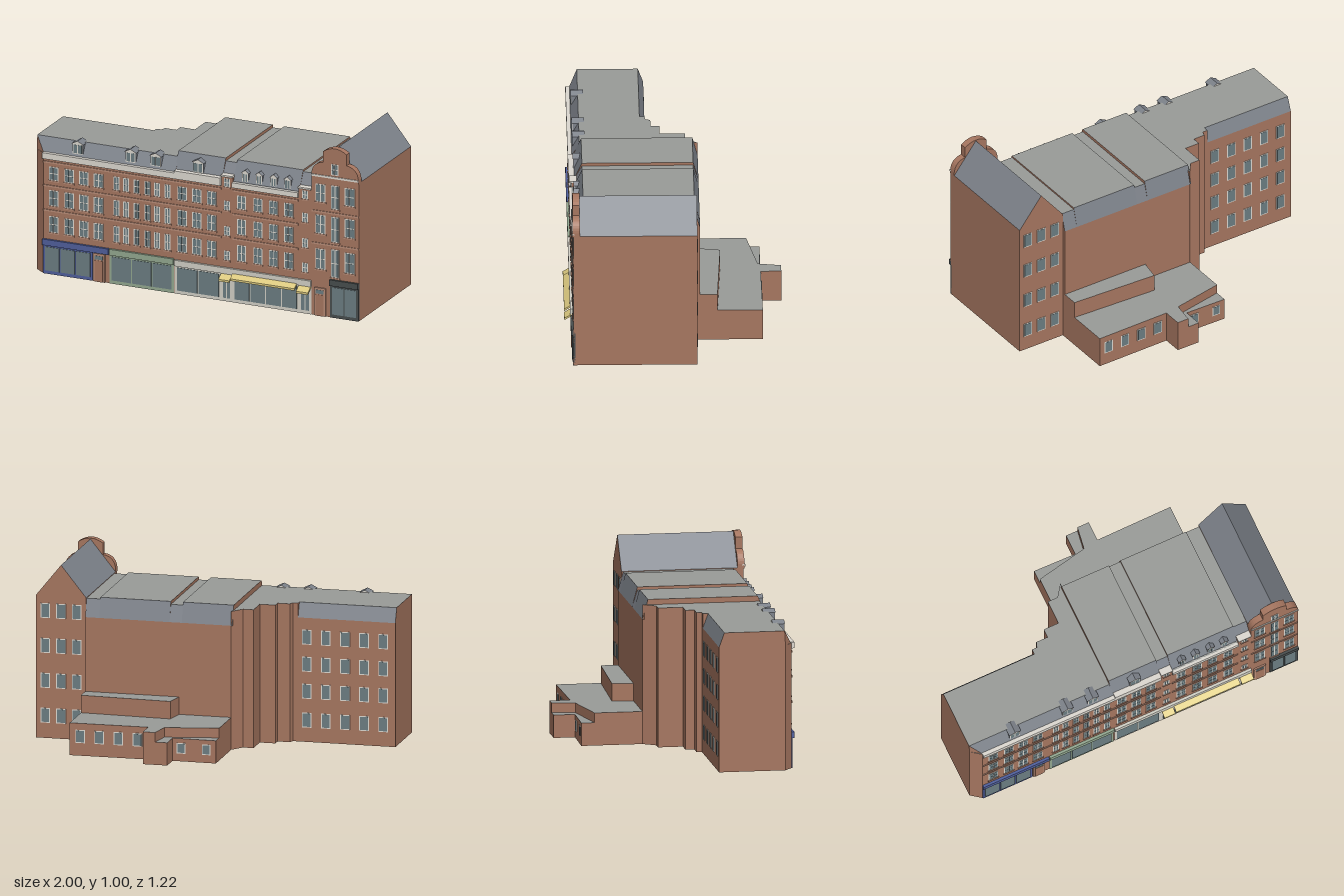
import * as THREE from 'three';
import { mergeGeometries } from 'three/addons/utils/BufferGeometryUtils.js';

const mat = (color) => new THREE.MeshStandardMaterial({ color, flatShading: true });
const brick = mat(0xa67660), flatRoof = mat(0x999b98), slate = mat(0x7d828a);
const white = mat(0xdcd8d0), glass = mat(0x6b7d82), stone = mat(0xb98d78);
const blue = mat(0x505f9c), green = mat(0x93a890), cream = mat(0xd2d0c6);
const yellow = mat(0xdcca80), dark = mat(0x474d4e);
const FRONT = 0.56;

export function createModel() {
  const model = new THREE.Group();

  const add = (name, geo, material, parent = model) => {
    const mesh = new THREE.Mesh(geo, material);
    mesh.name = name;
    parent.add(mesh);
    return mesh;
  };
  const boxGeo = (x0, x1, y0, y1, z0, z1) =>
    new THREE.BoxGeometry(x1 - x0, y1 - y0, z1 - z0)
      .translate((x0 + x1) / 2, (y0 + y1) / 2, (z0 + z1) / 2);
  const box = (name, material, x0, x1, y0, y1, z0, z1, parent) =>
    add(name, boxGeo(x0, x1, y0, y1, z0, z1), material, parent);

  // Loft from a ground outline [x, z] to a top outline; slateEdges picks the sloped slate sides
  function block(name, base, y0, y1, top = base, slateEdges = []) {
    const pos = [], geo = new THREE.BufferGeometry();
    base.forEach(([x, z], i) => {
      const j = (i + 1) % base.length, [u, w] = base[j], [a, b] = top[i], [c, d] = top[j];
      geo.addGroup(pos.length / 3, 6, slateEdges.includes(i) ? 1 : 0);
      pos.push(x, y0, z, u, y0, w, c, y1, d, x, y0, z, c, y1, d, a, y1, b);
    });
    const cap = (pts, y, up, material) => {
      const start = pos.length / 3;
      const tris = THREE.ShapeUtils.triangulateShape(pts.map((p) => new THREE.Vector2(...p)), []);
      for (const [i, j, k] of tris) {
        const [a, b, c] = [pts[i], pts[j], pts[k]];
        const facing = (b[1] - a[1]) * (c[0] - a[0]) - (b[0] - a[0]) * (c[1] - a[1]);
        for (const p of (facing > 0) === up ? [a, b, c] : [a, c, b]) pos.push(p[0], y, p[1]);
      }
      geo.addGroup(start, pos.length / 3 - start, material);
    };
    cap(top, y1, true, 2);
    if (y0 === 0) cap(base, y0, false, 0);
    geo.setAttribute('position', new THREE.Float32BufferAttribute(pos, 3));
    geo.computeVertexNormals();
    return add(name, geo, [brick, slate, flatRoof]);
  }

  // Window facing +z: white frame with rows and columns of panes; dir -1 faces the back
  function sashWindow(x, y, z, w, h, cols = 2, dir = 1, parent = model, rows = 2) {
    const g = new THREE.Group(), bar = 0.005, panes = [];
    g.name = 'window';
    box('frame', white, -w / 2, w / 2, -h / 2, h / 2, -0.004, 0.002, g);
    const pw = (w - bar * (cols + 1)) / cols, ph = (h - bar * (rows + 1)) / rows;
    for (let c = 0; c < cols; c++) for (let r = 0; r < rows; r++) {
      const px = -w / 2 + bar + c * (pw + bar), py = -h / 2 + bar + r * (ph + bar);
      panes.push(boxGeo(px, px + pw, py, py + ph, -0.002, 0.003));
    }
    add('panes', mergeGeometries(panes), glass, g);
    g.position.set(x, y, z);
    if (dir < 0) g.rotation.y = Math.PI;
    parent.add(g);
  }

  // Left building with its chamfered corner and stepped back
  const steps = [[-0.13, -0.15], [-0.18, -0.08], [-0.24, -0.08], [-0.24, 0.06], [-0.33, 0.06],
    [-0.33, 0.11], [-0.4, 0.11], [-0.41, 0.14], [-0.44, 0.14]];
  block('leftWalls', [[-1, 0.515], [-0.94, FRONT], [-0.13, FRONT], ...steps, [-1, 0.14]], 0, 0.71);
  block('leftMansardRoof',
    [[-1, 0.515], [-0.94, 0.555], [-0.13, 0.555], ...steps, [-0.44, 0.14], [-1, 0.14]], 0.71, 0.792,
    [[-1, 0.51], [-1, 0.51], [-0.13, 0.51], ...steps, [-0.44, 0.17], [-1, 0.17]], [1, 12]);

  // Middle buildings under separate mansard roofs
  const rect = (x0, x1, z0, z1) => [[x0, z1], [x1, z1], [x1, z0], [x0, z0]];
  block('middleWalls', rect(-0.13, 0.71, -0.15, FRONT), 0, 0.71);
  for (const [x0, x1, top] of [[-0.137, 0.155, 0.822], [0.155, 0.225, 0.805], [0.225, 0.63, 0.822], [0.63, 0.71, 0.812]])
    block('middleMansardRoof', rect(x0, x1, -0.15, 0.55), 0.71, top, rect(x0, x1, -0.12, 0.5), [0, 2]);

  // Tower house with a ridge roof and a curved front gable
  block('towerWalls', rect(0.71, 1, -0.13, FRONT), 0, 0.815);
  const ridge = new THREE.Shape([[-0.145, 0.815], [0.145, 0.815], [0, 0.995]].map((p) => new THREE.Vector2(...p)));
  add('towerRoof', new THREE.ExtrudeGeometry(ridge, { depth: 0.66, bevelEnabled: false }), [brick, slate])
    .position.set(0.855, 0, -0.13);
  const gable = new THREE.Shape();
  gable.moveTo(-0.145, 0.81).lineTo(0.145, 0.81).lineTo(0.145, 0.835);
  gable.quadraticCurveTo(0.138, 0.902, 0.072, 0.91).lineTo(0.072, 0.975);
  gable.quadraticCurveTo(0, 1.025, -0.072, 0.975).lineTo(-0.072, 0.91);
  gable.quadraticCurveTo(-0.138, 0.902, -0.145, 0.835);
  add('curvedGable', new THREE.ExtrudeGeometry(gable, { depth: 0.04, bevelEnabled: false, curveSegments: 8 }), brick)
    .position.set(0.855, 0, 0.525);
  box('towerCornice', white, 0.71, 1, 0.822, 0.834, 0.555, 0.57);
  sashWindow(0.855, 0.875, 0.565, 0.045, 0.065);

  // Low rear wings
  block('rearWing', [[-0.13, -0.15], [0.71, -0.15], [0.71, -0.5], [0.26, -0.495], [0.26, -0.61],
    [0.19, -0.61], [0.17, -0.48], [-0.13, -0.42]], 0, 0.185);
  block('rearLowWing', [[-0.13, -0.42], [0.17, -0.48], [0.19, -0.61], [0.12, -0.61], [0.12, -0.49], [-0.13, -0.495]], 0, 0.13);
  block('rearUpperStorey', [[0.17, -0.15], [0.71, -0.15], [0.71, -0.247], [0.19, -0.27]], 0.18, 0.285);

  // Front windows, by house: columns, width, rows [y, height], panes across
  const rows = [[0.595, 0.08], [0.45, 0.092], [0.295, 0.095]];
  const pierRows = [[0.7, 0.05], [0.565, 0.055], [0.415, 0.055], [0.27, 0.055]];
  const houses = [
    [[-0.875, -0.78, -0.69, -0.6], 0.058, rows, 2],
    [[-0.49, -0.43, -0.365, -0.3, -0.24, -0.175], 0.036, rows, 2],
    [[-0.085, 0.005, 0.095], 0.058, rows, 2],
    [[0.28, 0.38, 0.475, 0.57], 0.055, rows, 2],
    [[0.19, 0.67], 0.036, pierRows, 2],
    [[0.765, 0.945], 0.062, [[0.725, 0.105], [0.54, 0.11], [0.335, 0.12]], 2],
    [[0.855], 0.05, [[0.71, 0.14], [0.52, 0.15], [0.32, 0.165]], 2],
  ];
  for (const [xs, w, list, cols] of houses)
    for (const x of xs) for (const [y, h] of list) {
      sashWindow(x, y, FRONT, w, h, cols);
      box('sill', stone, x - w / 2 - 0.004, x + w / 2 + 0.004, y - h / 2 - 0.008, y - h / 2, 0.555, 0.566);
    }

  // Back windows
  for (const y of [0.6, 0.445, 0.29, 0.125])
    for (let i = 0; i < 5; i++) sashWindow(-0.93 + i * 0.11, y, 0.14, 0.055, 0.085, 1, -1, model, 1);
  for (const y of [0.73, 0.53, 0.33, 0.13])
    for (const x of [0.765, 0.855, 0.945]) sashWindow(x, y, -0.13, 0.055, 0.085, 1, -1, model, 1);
  for (const x of [0.32, 0.43, 0.54, 0.65]) sashWindow(x, 0.11, -0.498, 0.055, 0.075, 1, -1, model, 1);
  for (const x of [-0.075, 0.07]) sashWindow(x, 0.075, -0.493, 0.05, 0.06, 1, -1, model, 1);

  // Cornices and string courses
  for (const [x0, x1, y0, y1] of [[-0.94, -0.13, 0.68, 0.715], [-0.13, 0.155, 0.68, 0.727], [0.225, 0.63, 0.68, 0.71]])
    box('cornice', white, x0, x1, y0, y1, 0.54, 0.575);
  for (const [x0, x1] of [[0.155, 0.225], [0.63, 0.71]]) {
    box('pierTop', brick, x0, x1, 0.7, 0.735, 0.52, FRONT);
    box('pierCornice', white, x0, x1, 0.735, 0.745, 0.52, 0.572);
  }
  for (const y of [0.37, 0.515, 0.655])
    for (const [x0, x1] of [[-0.94, 0.155], [0.225, 0.63]]) box('stringCourse', stone, x0, x1, y, y + 0.01, 0.555, 0.565);
  for (const y of [0.42, 0.61])
    box('towerStringCourse', stone, 0.71, 1, y, y + 0.01, 0.555, 0.564);

  // Dormers with small pitched caps
  function dormer(x, w, y0, y1) {
    const g = new THREE.Group(), eave = y1 - 0.018;
    g.name = 'dormer';
    box('dormerBody', slate, x - w / 2, x + w / 2, y0, eave, 0.48, 0.545, g);
    const cap = new THREE.Shape([[x - w / 2 - 0.004, eave], [x + w / 2 + 0.004, eave], [x, y1]].map((p) => new THREE.Vector2(...p)));
    add('dormerCap', new THREE.ExtrudeGeometry(cap, { depth: 0.07, bevelEnabled: false }), [white, slate], g).position.z = 0.48;
    sashWindow(x, (y0 + eave) / 2 + 0.002, 0.545, w - 0.004, eave - y0 - 0.006, 2, 1, g, 1);
    model.add(g);
  }
  for (const x of [-0.735, -0.41, -0.255, 0.005]) dormer(x, 0.065, 0.722, 0.805);
  for (const x of [0.295, 0.38, 0.47, 0.555]) dormer(x, 0.04, 0.708, 0.785);

  // Shopfronts: painted frame, fascia, stall riser and glazing
  function shop(x0, x1, top, color, panes) {
    const g = new THREE.Group(), w = (x1 - x0 - 0.02) / panes;
    g.name = 'shopfront';
    box('shopFrame', color, x0, x1, 0, top - 0.03, 0.55, 0.564, g);
    box('fascia', color, x0, x1, top - 0.035, top, 0.55, 0.575, g);
    for (let i = 0; i < panes; i++)
      box('shopGlass', glass, x0 + 0.014 + i * w, x0 + 0.006 + (i + 1) * w, 0.02, top - 0.045, 0.55, 0.567, g);
    model.add(g);
  }
  shop(-0.94, -0.635, 0.205, blue, 3);
  box('fasciaOverDoor', blue, -0.635, -0.535, 0.17, 0.205, 0.55, 0.575);
  shop(-0.53, -0.135, 0.205, green, 3);
  shop(-0.13, 0.155, 0.2, cream, 2);
  shop(0.155, 0.225, 0.2, cream, 2);
  shop(0.225, 0.635, 0.2, cream, 4);
  shop(0.635, 0.71, 0.2, cream, 2);
  shop(0.825, 1, 0.225, dark, 2);

  // House doors
  for (const [x, h] of [[-0.595, 0.165], [0.763, 0.165]]) {
    box('doorSurround', stone, x - 0.036, x + 0.036, 0, h, 0.55, 0.568);
    box('door', brick, x - 0.025, x + 0.025, 0, h - 0.04, 0.55, 0.57);
    box('fanlight', glass, x - 0.025, x + 0.025, h - 0.034, h - 0.012, 0.55, 0.57);
  }

  // Sloping awnings
  function awning(x0, x1, y) {
    const side = new THREE.Shape([[-0.56, y], [-0.607, y - 0.03], [-0.607, y - 0.042], [-0.56, y - 0.012]].map((p) => new THREE.Vector2(...p)));
    const geo = new THREE.ExtrudeGeometry(side, { depth: x1 - x0, bevelEnabled: false });
    add('awning', geo.rotateY(Math.PI / 2).translate(x0, 0, 0), yellow);
  }
  awning(0.23, 0.625, 0.183);
  awning(0.158, 0.225, 0.17);
  awning(0.635, 0.708, 0.17);

  return model;
}
